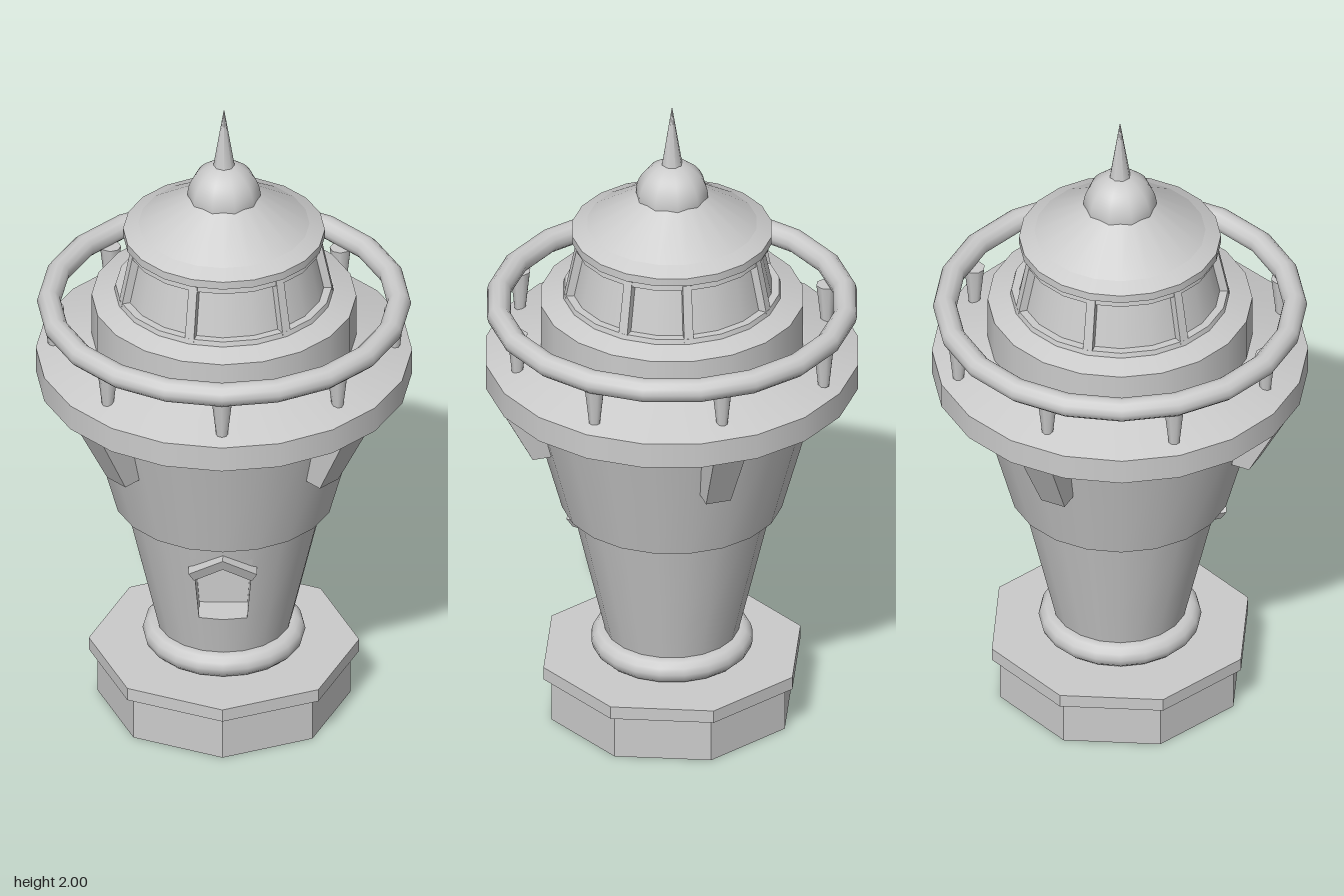
import * as THREE from 'three';

const SIDES = 20;
const mat = new THREE.MeshStandardMaterial({ color: 0xcccccc });
const flat = new THREE.MeshStandardMaterial({ color: 0xcccccc, flatShading: true, side: THREE.DoubleSide });

export function createModel() {
  const model = new THREE.Group();

  const add = (name, geo, material = mat) => {
    const mesh = new THREE.Mesh(geo, material);
    mesh.name = name;
    model.add(mesh);
    return mesh;
  };
  // Tapered round section between heights y0 and y1
  const section = (name, y0, r0, y1, r1, { sides = SIDES, open = false, material = mat, start = 0, sweep = Math.PI * 2 } = {}) => {
    const geo = new THREE.CylinderGeometry(r1, r0, y1 - y0, sides, 1, open, start, sweep);
    geo.translate(0, (y0 + y1) / 2, 0);
    return add(name, geo, material);
  };
  const ring = (name, y, radius, tube) => {
    const geo = new THREE.TorusGeometry(radius, tube, 12, SIDES);
    geo.rotateX(Math.PI / 2).translate(0, y, 0);
    return add(name, geo);
  };
  // Block with separate bottom and top outlines: [inner z, outer z, half width]
  const taperedBlock = (name, y0, bottom, y1, top, angle) => {
    const geo = new THREE.BoxGeometry(1, 1, 1);
    const p = geo.attributes.position;
    for (let i = 0; i < p.count; i++) {
      const [zIn, zOut, half] = p.getY(i) > 0 ? top : bottom;
      p.setXYZ(i, Math.sign(p.getX(i)) * half, p.getY(i) > 0 ? y1 : y0, p.getZ(i) > 0 ? zOut : zIn);
    }
    geo.rotateY(angle);
    return add(name, geo, flat);
  };

  // Octagonal foot: hollow skirt under a wider slab
  section('baseSkirt', 0, 0.37, 0.14, 0.37, { sides: 8, open: true, material: flat });
  section('baseSlab', 0.14, 0.395, 0.18, 0.395, { sides: 8, material: flat });
  ring('baseRing', 0.218, 0.2, 0.038);

  // Lower shaft, leaving two facets free for the doorway
  const shaftR = (y) => 0.196 + 0.2326 * (y - 0.25);
  const step = (Math.PI * 2) / SIDES;
  const sill = 0.387, eave = 0.56, peak = 0.62;
  const shaft = (name, y0, y1, opt) => section(name, y0, shaftR(y0), y1, shaftR(y1), { open: true, ...opt });
  shaft('shaftFoot', 0.18, sill);
  shaft('shaftDoorLevel', sill, peak, { sides: SIDES - 2, start: step, sweep: Math.PI * 2 - 2 * step });
  shaft('shaftTop', peak, 0.68);

  // Doorway recess: outline on the shaft, pushed back to a flat door
  const onShaft = (k, y) => new THREE.Vector3(shaftR(y) * Math.sin(k * step), y, shaftR(y) * Math.cos(k * step));
  const outline = [onShaft(-1, sill), onShaft(0, sill), onShaft(1, sill), onShaft(1, eave), onShaft(0, peak), onShaft(-1, eave)];
  const back = outline.map((v) => new THREE.Vector3(v.x, v.y, 0.13));
  const tris = [];
  outline.forEach((a, i) => {
    const j = (i + 1) % outline.length;
    tris.push(a, outline[j], back[j], a, back[j], back[i]);
    if (i > 0 && j > 0) tris.push(back[0], back[i], back[j]);
  });
  add('doorRecess', new THREE.BufferGeometry().setFromPoints(tris), flat).geometry.computeVertexNormals();
  const lintel = [onShaft(1, eave), onShaft(1, peak), onShaft(0, peak), onShaft(-1, eave), onShaft(0, peak), onShaft(-1, peak)];
  add('doorLintel', new THREE.BufferGeometry().setFromPoints(lintel), flat).geometry.computeVertexNormals();

  // Gabled door hood, leaning with the wall
  const gable = new THREE.Shape([[-0.1, 0.585], [-0.085, 0.555], [0, 0.607], [0.085, 0.555], [0.1, 0.585], [0, 0.645]]
    .map(([x, y]) => new THREE.Vector2(x, y)));
  const hood = new THREE.ExtrudeGeometry(gable, { depth: 0.065, bevelEnabled: false });
  const hp = hood.attributes.position;
  for (let i = 0; i < hp.count; i++) hp.setZ(i, hp.getZ(i) + 0.22 + (hp.getY(i) - 0.56) * 0.41);
  hood.computeVertexNormals();
  add('doorHood', hood, flat);

  // Flared upper shaft and gallery deck
  section('upperShaft', 0.68, 0.325, 1.1, 0.44);
  section('galleryDeck', 1.1, 0.55, 1.18, 0.55);
  section('deckSlope', 1.18, 0.55, 1.23, 0.39);
  section('drum', 1.22, 0.387, 1.365, 0.387);
  section('drumCap', 1.365, 0.387, 1.385, 0.325);

  // Four brackets beneath the deck
  for (let i = 0; i < 4; i++) {
    taperedBlock('bracket', 0.91, [0.33, 0.44, 0.038], 1.1, [0.38, 0.54, 0.048], Math.PI / 4 + i * Math.PI / 2);
  }

  // Handrail on eight tapered posts
  ring('handrail', 1.34, 0.512, 0.035);
  for (let i = 0; i < 8; i++) {
    const a = (i * Math.PI) / 4;
    const r = i % 2 ? 0.475 : 0.498;
    const post = section('railPost', 1.195, 0.017, 1.32, 0.031, { sides: 8 });
    post.position.set(r * Math.sin(a), 0, r * Math.cos(a));
  }

  // Lantern room: sill, recessed glazing, leaning posts and top frame
  section('lanternSill', 1.38, 0.322, 1.4, 0.317);
  section('lanternGlazing', 1.39, 0.296, 1.57, 0.258);
  section('lanternTopFrame', 1.545, 0.285, 1.567, 0.282);
  for (let i = 0; i < 7; i++) {
    taperedBlock('lanternPost', 1.39, [0.285, 0.318, 0.014], 1.56, [0.25, 0.283, 0.013], Math.PI / 2 - i * 3 * step);
  }

  // Roof, ball and spire
  section('roofEave', 1.567, 0.295, 1.592, 0.295);
  section('roofLip', 1.592, 0.295, 1.613, 0.25);
  section('roof', 1.613, 0.25, 1.715, 0.095);
  const ball = new THREE.SphereGeometry(0.107, 10, 16, 0, Math.PI * 2, 0, Math.PI / 2);
  add('roofBall', ball.translate(0, 1.71, 0));
  section('ballBase', 1.7, 0.107, 1.71, 0.107, { sides: 10 }).rotation.y = Math.PI / 2;
  section('spire', 1.8, 0.033, 2, 0.001, { sides: 8 });

  return model;
}
